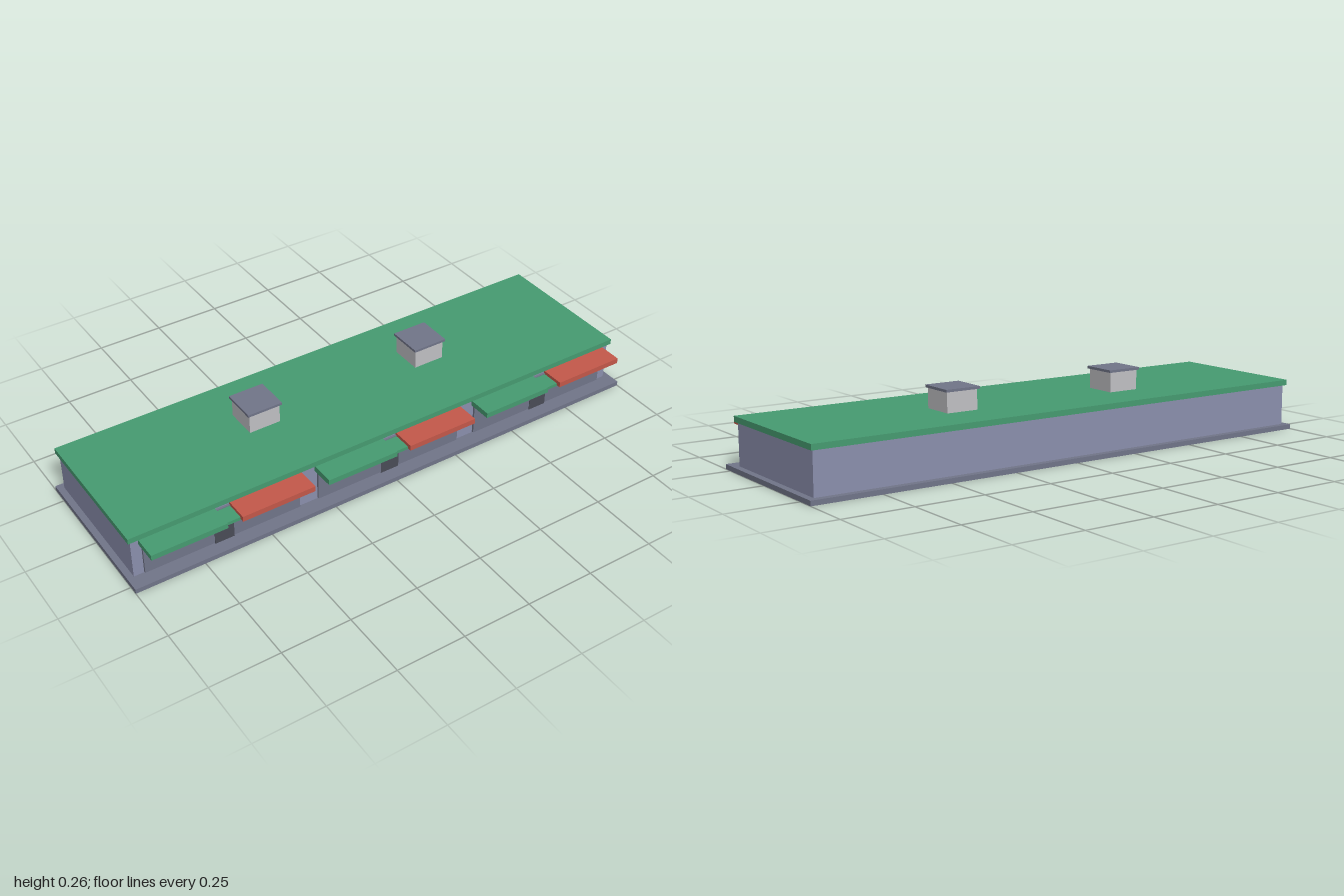
import * as THREE from 'three';

const paint = (name, color) => {
  const m = new THREE.MeshStandardMaterial({ color });
  m.name = name;
  return m;
};

export function createModel() {
  const slate = paint('slate', 0x717589);
  const wall = paint('lavenderWall', 0x8b8fad);
  const green = paint('green', 0x469b71);
  const red = paint('red', 0xc4584a);
  const pale = paint('paleGrey', 0xc0c0c4);
  const dark = paint('charcoal', 0x4a4c57);

  const model = new THREE.Group();
  model.name = 'shopRow';

  // Box given by its limits on each axis
  const box = (name, mat, [x0, x1], [y0, y1], [z0, z1], parent = model) => {
    const mesh = new THREE.Mesh(new THREE.BoxGeometry(x1 - x0, y1 - y0, z1 - z0), mat);
    mesh.position.set((x0 + x1) / 2, (y0 + y1) / 2, (z0 + z1) / 2);
    mesh.name = name;
    parent.add(mesh);
  };

  // Main building
  box('plinth', slate, [-1, 1], [0, 0.017], [-0.317, 0.284]);
  box('walls', wall, [-0.977, 0.977], [0.017, 0.165], [-0.293, 0.227]);
  box('roof', green, [-0.987, 0.987], [0.165, 0.185], [-0.304, 0.236]);

  // Three shop fronts, each with a door, a canopy and two awnings
  for (const x of [-0.651, 0, 0.651]) {
    const shop = new THREE.Group();
    shop.name = 'shopFront';
    shop.position.x = x;
    model.add(shop);
    box('shopWindow', slate, [-0.289, 0.289], [0.02, 0.153], [0.226, 0.235], shop);
    box('door', dark, [-0.036, 0.036], [0.017, 0.137], [0.226, 0.2365], shop);
    box('canopy', green, [-0.289, 0.289], [0.138, 0.15], [0.229, 0.302], shop);
    box('leftAwning', green, [-0.299, -0.027], [0.142, 0.162], [0.229, 0.318], shop);
    box('rightAwning', red, [0.027, 0.299], [0.142, 0.162], [0.229, 0.318], shop);
  }

  // Roof vents with caps
  for (const x of [-0.342, 0.342]) {
    box('vent', pale, [x - 0.059, x + 0.059], [0.185, 0.256], [-0.134, -0.016]);
    box('ventCap', slate, [x - 0.066, x + 0.066], [0.256, 0.265], [-0.14, -0.01]);
  }

  return model;
}
